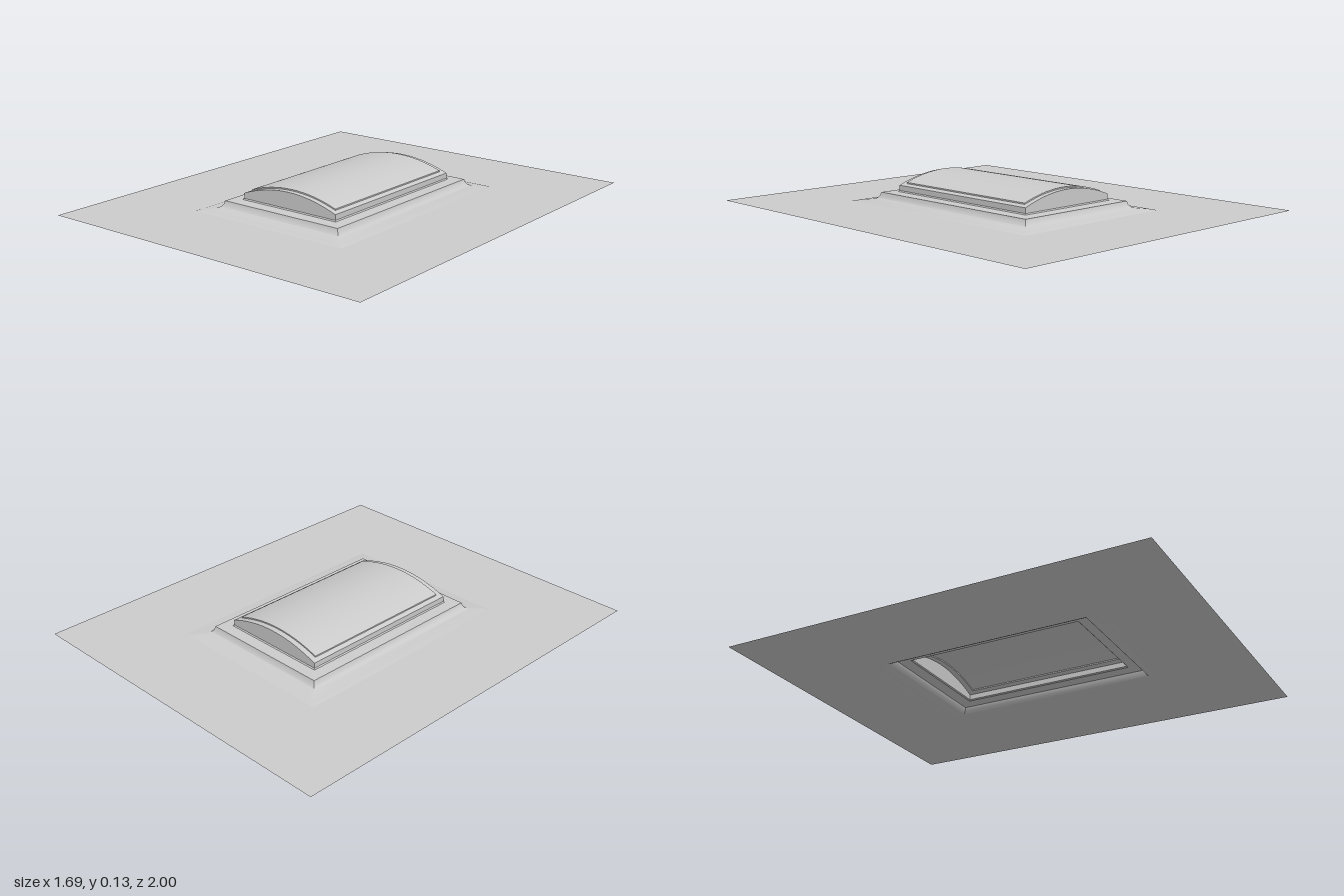
import * as THREE from 'three';
import { toCreasedNormals } from 'three/addons/utils/BufferGeometryUtils.js';

const COLUMNS = 24; // divisions across the arched width
const INSET = 0.157; // every tier is this much longer than wide (per half)

const material = new THREE.MeshStandardMaterial({ color: 0xcccccc, side: THREE.DoubleSide });

// Shallow arch across the width, lifted by a height
const arch = (lift) => (x) => 0.126 + lift - 0.051 * (x / 0.262) ** 2;

// Rectangular ring [halfWidth, halfLength, height or height rule], front edge then back edge
function ringPoints([hx, hz, y]) {
  const height = typeof y === 'function' ? y : () => y;
  const points = [];
  for (const side of [1, -1]) {
    for (let i = 0; i <= COLUMNS; i++) {
      const x = side * hx * (2 * i / COLUMNS - 1);
      points.push([x, height(x), side * hz]);
    }
  }
  return points;
}

// Open sheet through nested rings; a last ring of zero length closes the top
function tier(name, rings) {
  const positions = [];
  for (let r = 0; r < rings.length - 1; r++) {
    const a = ringPoints(rings[r]);
    const b = ringPoints(rings[r + 1]);
    const closing = rings[r + 1][1] === 0;
    for (let i = 0; i < a.length; i++) {
      const j = (i + 1) % a.length;
      if (closing && i % (COLUMNS + 1) === COLUMNS) continue;
      positions.push(...a[i], ...a[j], ...b[j], ...a[i], ...b[j], ...b[i]);
    }
  }
  const geometry = new THREE.BufferGeometry();
  geometry.setAttribute('position', new THREE.Float32BufferAttribute(positions, 3));
  const mesh = new THREE.Mesh(toCreasedNormals(geometry, 0.45), material);
  mesh.name = name;
  return mesh;
}

const level = (hx, y) => [hx, hx + INSET, y];

export function createModel() {
  const group = new THREE.Group();
  group.name = 'archedPlinth';

  group.add(
    // Flat ground sheet around the plinth
    tier('ground', [[0.845, 1, 0], level(0.42, 0)]),
    // Low sloping skirt flaring into the base
    tier('skirt', [
      level(0.42, 0), level(0.4, 0.005), level(0.35, 0.01), level(0.337, 0.015),
    ]),
    // Lower step with slightly leaning walls
    tier('lowerStep', [
      level(0.337, 0.015), level(0.328, 0.025), level(0.323, 0.042), level(0.267, 0.045),
    ]),
    // Arched block, with the rim that frames the lid
    tier('archedBlock', [
      level(0.267, 0.045), level(0.262, 0.05), level(0.262, arch(0)), [0.24, 0.392, arch(0)],
    ]),
    // Slightly raised arched lid
    tier('lid', [
      [0.24, 0.392, arch(0)], [0.24, 0.392, arch(0.006)], [0.24, 0, arch(0.006)],
    ]),
  );
  return group;
}
